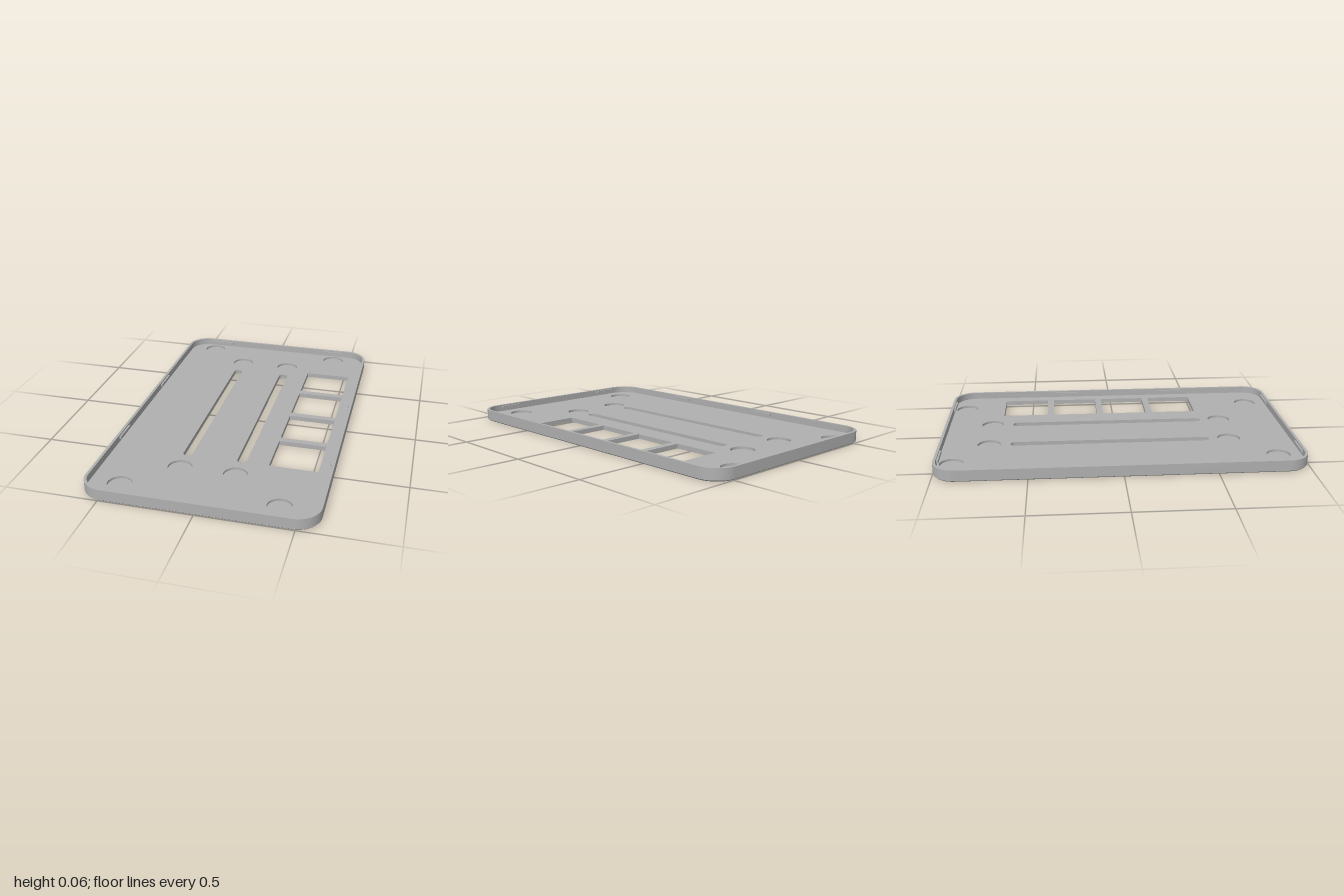
import * as THREE from 'three';
import { toCreasedNormals } from 'three/addons/utils/BufferGeometryUtils.js';

const W = 0.61, L = 1, H = 0.065;      // half width, half length, height
const WALL = 0.015, R = 0.125;         // rim thickness, corner radius
const FLOOR = 0.026, POCKET = 0.013;   // floor top, pocket bottom
const EDGE = 0.006;                    // bottom chamfer

// Counter-clockwise outlines in (x, -z)
function arc(cx, cy, r, from, to, n) {
  return Array.from({ length: n + 1 }, (_, i) => {
    const a = from + ((to - from) * i) / n;
    return new THREE.Vector2(cx + r * Math.cos(a), cy + r * Math.sin(a));
  });
}

function roundedRect(inset) {
  const q = Math.PI / 2, r = R - inset, x = W - R, y = L - R;
  return [[x, y], [-x, y], [-x, -y], [x, -y]]
    .flatMap(([cx, cy], i) => arc(cx, cy, r, i * q, (i + 1) * q, 12));
}

function rect(x0, x1, z0, z1) {
  return [[x0, -z1], [x1, -z1], [x1, -z0], [x0, -z0]].map(([x, y]) => new THREE.Vector2(x, y));
}

function slot(x, z0, z1, r) {
  return [...arc(x, -z0 - r, r, 0, Math.PI, 12), ...arc(x, -z1 + r, r, Math.PI, 2 * Math.PI, 12)];
}

const circle = (x, z, r) => arc(x, -z, r, 0, 2 * Math.PI, 40).slice(0, -1);

// Wall strip between two matching outlines; running downward faces it inward
function band(a, yA, b, yB) {
  const n = a.length, pos = [], idx = [];
  a.forEach((p, i) => pos.push(p.x, yA, -p.y, b[i].x, yB, -b[i].y));
  for (let i = 0; i < n; i++) {
    const j = (i + 1) % n;
    idx.push(2 * i, 2 * j, 2 * j + 1, 2 * i, 2 * j + 1, 2 * i + 1);
  }
  const g = new THREE.BufferGeometry();
  g.setAttribute('position', new THREE.Float32BufferAttribute(pos, 3));
  g.setIndex(idx);
  return toCreasedNormals(g, 0.6);
}

// Flat horizontal face with holes
function sheet(outline, holes, y, down = false) {
  const s = new THREE.Shape(outline.map((p) => (down ? new THREE.Vector2(p.x, -p.y) : p)));
  s.holes = holes.map((h) => new THREE.Path(h.map((p) => (down ? new THREE.Vector2(p.x, -p.y) : p))));
  return new THREE.ShapeGeometry(s).rotateX(down ? Math.PI / 2 : -Math.PI / 2).translate(0, y, 0);
}

export function createModel() {
  const group = new THREE.Group();
  const grey = new THREE.MeshStandardMaterial({ color: 0xb0b0b0 });
  grey.name = 'grey plastic';
  const add = (name, geometry) => {
    const m = new THREE.Mesh(geometry, grey);
    m.name = name;
    group.add(m);
    return m;
  };

  const outer = roundedRect(0), inner = roundedRect(WALL), foot = roundedRect(EDGE);

  // Through openings: two long slots and four square windows
  const openings = [slot(-0.187, -0.61, 0.52, 0.025), slot(0.115, -0.61, 0.52, 0.026)];
  for (let i = 0; i < 4; i++) {
    const z = -0.673 + i * 0.3055;
    openings.push(rect(0.265, 0.53, z, z + 0.267));
  }

  // Round blind pockets in the floor
  const pockets = [];
  for (const x of [-0.435, 0.397]) for (const z of [-0.91, 0.86]) pockets.push(circle(x, z, 0.065));
  for (const x of [-0.187, 0.115]) for (const z of [-0.73, 0.635]) pockets.push(circle(x, z, 0.065));

  // Tray shell
  add('underside', sheet(foot, openings, 0, true));
  add('bottomChamfer', band(foot, 0, outer, EDGE));
  add('outerWall', band(outer, EDGE, outer, H));
  add('rimTop', sheet(outer, [inner], H));
  add('innerWall', band(inner, H, inner, FLOOR));
  add('floor', sheet(inner, [...openings, ...pockets], FLOOR));
  openings.forEach((o) => add('openingEdge', band(o, FLOOR, o, 0)));
  pockets.forEach((p) => {
    add('pocketWall', band(p, FLOOR, p, POCKET));
    add('pocketFloor', sheet(p, [], POCKET));
  });

  // Snap ridges on the inner walls
  for (const side of [-1, 1]) {
    for (const x of [-0.392, 0.388]) {
      add('endClip', new THREE.BoxGeometry(0.138, 0.016, 0.014)).position.set(x, 0.049, side * 0.982);
    }
    for (const z of [-0.287, 0.396]) {
      add('sideClip', new THREE.BoxGeometry(0.014, 0.016, 0.14)).position.set(side * 0.592, 0.049, z);
    }
  }
  return group;
}
